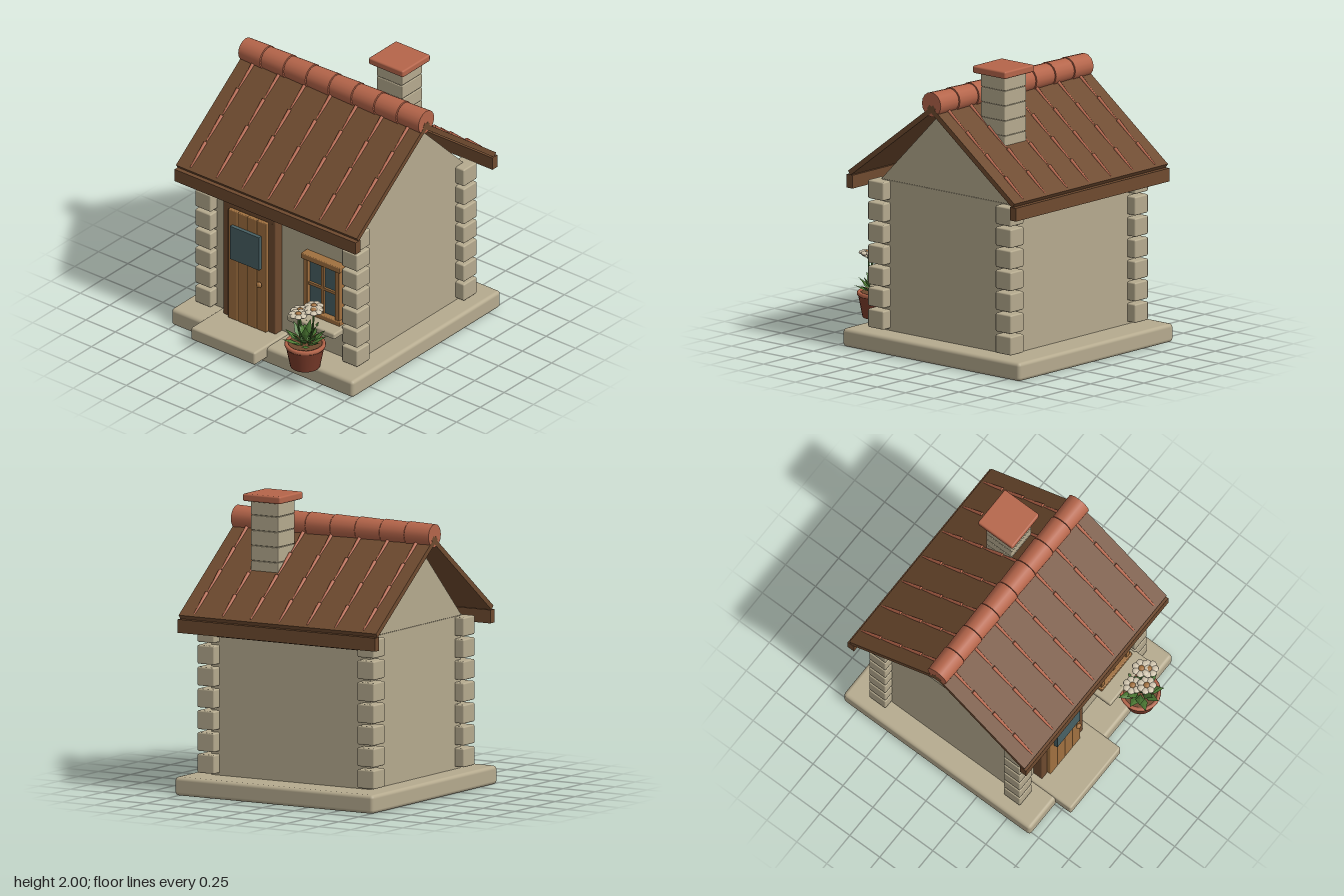
import * as THREE from 'three';
import { RoundedBoxGeometry } from 'three/addons/geometries/RoundedBoxGeometry.js';

const mat = (name, color) => {
  const m = new THREE.MeshStandardMaterial({ color });
  m.name = name;
  return m;
};

export function createModel() {
  const model = new THREE.Group();
  model.name = 'cottage';
  const stone = mat('stone', 0xb5aa8e);
  const brown = mat('dark wood', 0x6e4a2f);
  const terracotta = mat('terracotta', 0xb5654a);
  const wood = mat('oak', 0xa0703f);
  const glass = mat('glass', 0x486064);
  const green = mat('leaf green', 0x4c7a34);
  const petal = mat('petal cream', 0xcfc4ad);
  const clay = mat('pot clay', 0x7a3b2a);
  const CZ = -0.085; // house centre along z

  const add = (name, geometry, material, x = 0, y = 0, z = 0, parent = model) => {
    const mesh = new THREE.Mesh(geometry, material);
    mesh.name = name;
    mesh.position.set(x, y, z);
    parent.add(mesh);
    return mesh;
  };
  // Box given by its min and max on each axis, with optional rounded edges
  const box = (name, material, [x0, x1], [y0, y1], [z0, z1], r = 0, parent = model) => {
    const s = [x1 - x0, y1 - y0, z1 - z0];
    const g = r ? new RoundedBoxGeometry(...s, 2, r) : new THREE.BoxGeometry(...s);
    return add(name, g, material, (x0 + x1) / 2, (y0 + y1) / 2, (z0 + z1) / 2, parent);
  };
  const group = (name, parent = model) => {
    const g = new THREE.Group();
    g.name = name;
    parent.add(g);
    return g;
  };

  // Base, doorstep and walls
  box('base', stone, [-0.775, 0.775], [0.005, 0.13], [CZ - 0.78, CZ + 0.78], 0.025);
  box('doorstep', stone, [-0.5, 0.045], [0.05, 0.145], [0.45, 0.825], 0.015);
  box('walls', stone, [-0.62, 0.62], [0.12, 1.15], [CZ - 0.56, CZ + 0.56]);

  // Gable prism running the length of the house
  const gable = new THREE.Shape([
    new THREE.Vector2(-0.565, 1.153), new THREE.Vector2(0.565, 1.153), new THREE.Vector2(0, 1.72),
  ]);
  const gableGeo = new THREE.ExtrudeGeometry(gable, { depth: 1.25, bevelEnabled: false });
  gableGeo.translate(0, 0, -0.625).rotateY(Math.PI / 2);
  add('gable', gableGeo, stone, 0, 0, CZ);

  // Corner stones
  const corners = group('cornerStones');
  const quoin = new RoundedBoxGeometry(0.132, 0.126, 0.138, 2, 0.01);
  for (const sx of [-1, 1]) for (const sz of [-1, 1]) for (let i = 0; i < 7; i++) {
    add('cornerStone', quoin, stone, sx * 0.624, 0.208 + i * 0.146, CZ + sz * 0.561, corners);
  }

  // Two roof slopes with tile ribs, fascia and wall plate
  const ribGeo = new THREE.CylinderGeometry(0.007, 0.013, 0.2, 8);
  ribGeo.rotateX(-Math.PI / 2 + Math.PI);
  for (const turn of [0, Math.PI]) {
    const half = group('roofHalf');
    half.position.z = CZ;
    half.rotation.y = turn;
    const slope = group('roofSlope', half);
    slope.position.y = 1.755;
    slope.rotation.x = Math.atan2(0.555, 0.74);
    box('roofSlab', brown, [-0.77, 0.77], [-0.035, 0], [-0.02, 0.915], 0, slope);
    for (let i = -3; i <= 3; i++) for (let j = 0; j < 4; j++) {
      const rib = add('tileRib', ribGeo, terracotta, i * 0.22, 0, 0.155 + j * 0.212, slope);
      rib.rotation.x = 0.04;
    }
    box('fascia', brown, [-0.77, 0.77], [1.09, 1.18], [0.693, 0.745], 0, half);
    box('wallPlate', brown, [-0.56, 0.56], [1.06, 1.11], [0.54, 0.6], 0.008, half);
  }

  // Ridge tiles, each slightly tapered
  const ridge = group('ridgeTiles');
  const tileGeo = new THREE.CylinderGeometry(0.078, 0.083, 0.187, 16);
  tileGeo.rotateZ(Math.PI / 2);
  for (let i = 0; i < 8; i++) add('ridgeTile', tileGeo, terracotta, -0.676 + i * 0.193, 1.768, CZ, ridge);
  const core = new THREE.CylinderGeometry(0.06, 0.06, 1.5, 12);
  add('ridgeCore', core.rotateZ(Math.PI / 2), terracotta, 0, 1.768, CZ, ridge);

  // Chimney in courses, with a cap
  const chimney = group('chimney');
  chimney.position.set(0.335, 0, -0.338);
  box('chimneyCore', stone, [-0.1, 0.1], [1.46, 1.96], [-0.1, 0.1], 0, chimney);
  for (let i = 0; i < 5; i++) {
    const y = 1.45 + i * 0.102;
    box('chimneyCourse', stone, [-0.107, 0.107], [y, y + 0.098], [-0.107, 0.107], 0.006, chimney);
  }
  box('chimneyCap', terracotta, [-0.147, 0.147], [1.95, 2], [-0.145, 0.145], 0.012, chimney);

  // Door: frame, planks, pane and knob
  const door = group('door');
  box('doorPost', brown, [-0.45, -0.388], [0.14, 1.025], [0.45, 0.545], 0.008, door);
  box('doorPost', brown, [-0.068, -0.005], [0.14, 1.025], [0.45, 0.545], 0.008, door);
  box('doorLintel', brown, [-0.45, -0.005], [0.975, 1.028], [0.45, 0.547], 0.008, door);
  for (let i = 0; i < 4; i++) {
    const x = -0.39 + i * 0.0815;
    box('doorPlank', wood, [x, x + 0.079], [0.145, 0.977], [0.47, 0.57], 0.006, door);
  }
  box('doorPane', glass, [-0.35, -0.105], [0.62, 0.87], [0.57, 0.596], 0, door);
  const knob = add('doorKnob', new THREE.SphereGeometry(0.022, 16, 12), wood, -0.11, 0.505, 0.59, door);
  knob.scale.z = 0.7;

  // Window: glass, frame, glazing bars and sill
  const win = group('window');
  box('windowPane', glass, [0.24, 0.5], [0.41, 0.82], [0.46, 0.5], 0, win);
  for (const x of [0.235, 0.505]) box('windowStile', wood, [x - 0.018, x + 0.018], [0.4, 0.82], [0.46, 0.53], 0.005, win);
  box('windowHead', wood, [0.205, 0.535], [0.803, 0.845], [0.46, 0.54], 0.006, win);
  box('windowFoot', wood, [0.205, 0.535], [0.395, 0.432], [0.46, 0.54], 0.006, win);
  box('glazingBar', wood, [0.36, 0.38], [0.42, 0.81], [0.48, 0.517], 0, win);
  box('glazingBar', wood, [0.24, 0.5], [0.61, 0.63], [0.48, 0.515], 0, win);
  box('windowSill', stone, [0.168, 0.572], [0.355, 0.4], [0.46, 0.64], 0.012, win);

  // Flower pot
  const plant = group('pottedPlant');
  plant.position.set(0.39, 0, 0.72);
  add('pot', new THREE.CylinderGeometry(0.13, 0.1, 0.155, 24), clay, 0, 0.2125, 0, plant);
  const rim = [[0.115, 0.28], [0.134, 0.283], [0.137, 0.29], [0.137, 0.303], [0.132, 0.31], [0.115, 0.31], [0.11, 0.29]];
  add('potRim', new THREE.LatheGeometry(rim.map(p => new THREE.Vector2(...p)), 24), terracotta, 0, 0, 0, plant);
  add('soil', new THREE.CylinderGeometry(0.115, 0.115, 0.01, 20), brown, 0, 0.296, 0, plant);

  // Leaves in three rings, leaning outwards
  const leafGeo = new THREE.OctahedronGeometry(1, 0);
  leafGeo.scale(0.03, 0.075, 0.008).translate(0, 0.07, 0);
  for (const [count, lean, y, r, size] of [[9, 1.05, 0.3, 0.03, 0.95], [8, 0.7, 0.31, 0.025, 1], [5, 0.35, 0.33, 0.015, 0.95]]) {
    for (let i = 0; i < count; i++) {
      const spin = group('leafArm', plant);
      spin.rotation.y = (i / count) * Math.PI * 2 + lean * 2;
      const leaf = add('leaf', leafGeo, green, 0, y, r, spin);
      leaf.rotation.x = lean + (i % 2) * 0.15;
      leaf.scale.setScalar(size);
    }
  }

  // Flowers: stem, ring of petals, centre
  const petalGeo = new THREE.SphereGeometry(0.026, 10, 8).scale(1, 0.5, 1);
  const eyeGeo = new THREE.SphereGeometry(0.022, 10, 8).scale(1, 0.7, 1);
  for (const [x, y, z] of [[0.05, 0.59, -0.03], [-0.01, 0.545, 0.06], [-0.06, 0.52, -0.02], [0.08, 0.585, 0.01]]) {
    const path = new THREE.QuadraticBezierCurve3(
      new THREE.Vector3(x * 0.4, 0.29, z * 0.4), new THREE.Vector3(x, 0.4, z), new THREE.Vector3(x, y, z));
    add('stem', new THREE.TubeGeometry(path, 8, 0.006, 6), green, 0, 0, 0, plant);
    const flower = group('flower', plant);
    flower.position.set(x, y, z);
    for (let i = 0; i < 7; i++) {
      const a = (i / 7) * Math.PI * 2;
      add('petal', petalGeo, petal, Math.cos(a) * 0.04, 0, Math.sin(a) * 0.04, flower);
    }
    add('flowerCentre', eyeGeo, wood, 0, 0.004, 0, flower);
  }
  return model;
}
